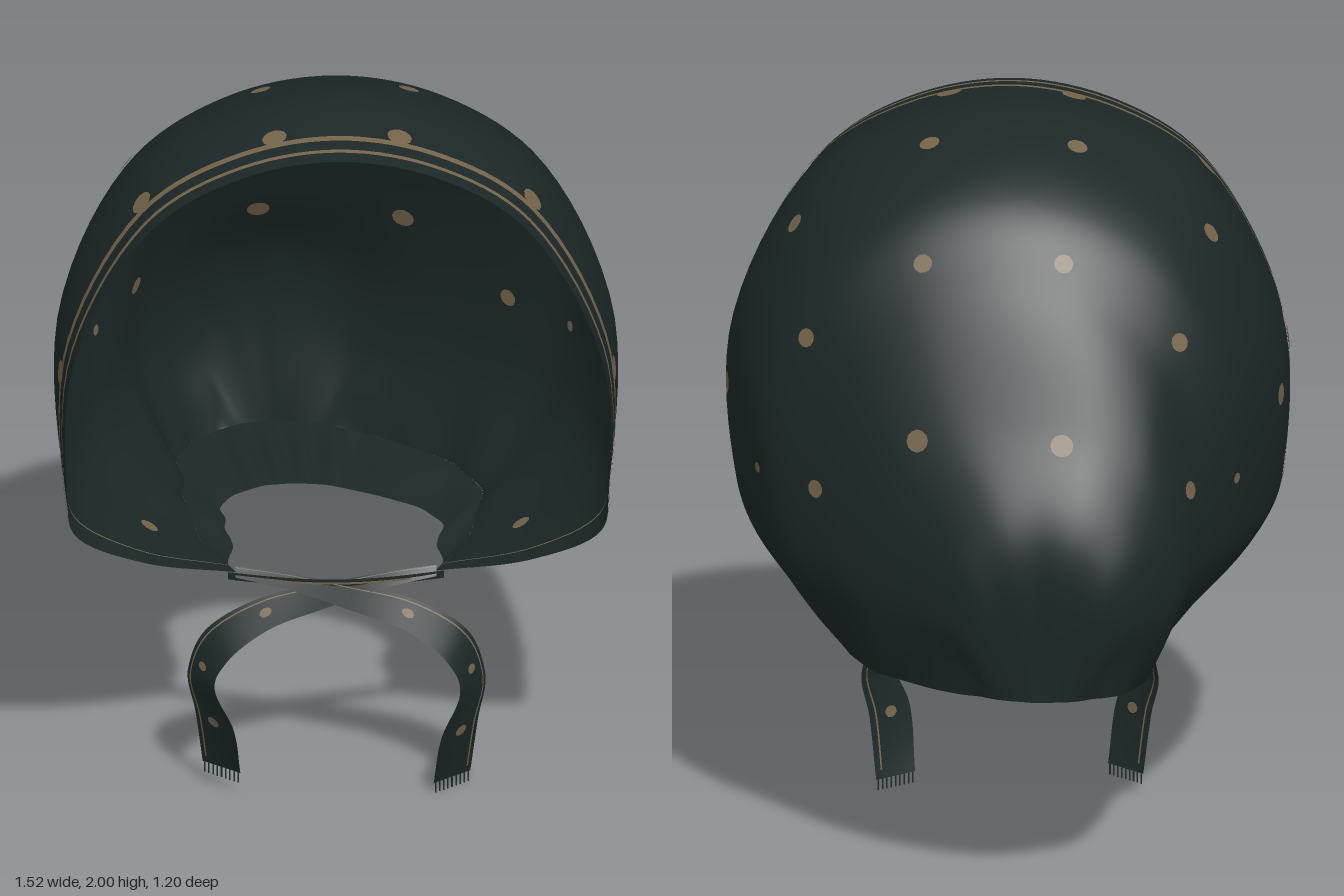
import * as THREE from 'three';

const V = (x, y, z) => new THREE.Vector3(x, y, z);
const { smoothstep } = THREE.MathUtils;

// Half arcs over the head, each from the neck edge up to the midline: brim and crown, then nape
const CROWN = [
  [[.27, .6, .32], [.52, .705, .47], [.71, .855, .595], [.728, .96, .6], [.71, 1.37, .6], [.505, 1.765, .6], [.27, 1.917, .6], [0, 1.97, .6]],
  [[.33, .6, .2], [.54, .7, .24], [.7, .85, .26], [.735, .97, .26], [.742, 1.37, .25], [.54, 1.785, .25], [.28, 1.945, .25], [0, 2, .25]],
  [[.39, .6, -.04], [.5, .69, -.07], [.6, .83, -.095], [.64, .97, -.1], [.65, 1.35, -.1], [.5, 1.655, -.1], [.27, 1.82, -.1], [0, 1.875, -.1]],
];
const NAPE = [
  [[.39, .6, -.24], [.44, .7, -.27], [.5, .85, -.3], [.52, .97, -.3], [.51, 1.22, -.28], [.41, 1.47, -.27], [.23, 1.62, -.27], [0, 1.67, -.27]],
  [[.33, .603, -.39], [.35, .71, -.43], [.375, .84, -.455], [.38, .95, -.46], [.365, 1.09, -.45], [.3, 1.23, -.44], [.18, 1.32, -.44], [0, 1.35, -.44]],
  [[.21, .606, -.5], [.21, .7, -.53], [.22, .8, -.565], [.21, .89, -.58], [.19, .96, -.585], [.14, 1.02, -.585], [.08, 1.055, -.585], [0, 1.07, -.58]],
  [[.15, .61, -.53], [.125, .61, -.545], [.1, .61, -.555], [.08, .61, -.56], [.06, .61, -.563], [.04, .61, -.566], [.02, .61, -.57], [0, .61, -.57]],
];
const arcCurves = [...CROWN, ...NAPE].map(a => new THREE.CatmullRomCurve3([
  ...a.map(p => V(...p)),
  ...a.slice(0, -1).reverse().map(([x, y, z]) => V(-x, y, z)),
]));

// Point on the hood: t = brim to nape, s = left neck edge over the top to right neck edge
function hood(t, s) {
  const p = new THREE.CatmullRomCurve3(arcCurves.map(a => a.getPoint(s))).getPoint(t);
  // the gathered nape sags to one side
  p.x -= 0.14 * smoothstep(-p.z, 0.15, 0.6);
  // soft folds gathering toward the neck
  const fold = smoothstep(1.1 - p.y, 0, 0.5) * Math.sin(Math.PI * t);
  p.x += THREE.MathUtils.clamp(p.x * 5, -1, 1) * 0.006 * fold * Math.sin(t * 34);
  return p;
}

// Outward normal and tangents of the hood
function frame(t, s) {
  const e = 0.004;
  const p = hood(t, s);
  const a = hood(Math.min(1, t + e), s).sub(hood(Math.max(0, t - e), s)).normalize();
  const b = hood(t, Math.min(1, s + e)).sub(hood(t, Math.max(0, s - e))).normalize();
  const n = a.clone().cross(b).normalize();
  if (n.dot(p.clone().sub(V(0, 1.1, 0.1))) < 0) n.negate();
  return { p, n, a, b: n.clone().cross(a) };
}

// Gathered underside: v = 0 on the hood's lower edge, v = 1 on the neck hole
function underside(u, v) {
  const k = u * 3;
  const p = k < 1 ? hood(k, 0) : k < 2 ? hood(1, k - 1) : hood(3 - k, 1);
  p.x *= 1 - 0.27 * v * smoothstep(0.34 - p.z, 0, 0.3);
  p.z = THREE.MathUtils.lerp(p.z, 0.3 + (p.z - 0.32) * 0.57, v);
  p.y += 0.008 * Math.sin(Math.PI * v) * Math.sin(u * 60) - 0.008 * v;
  return p;
}

// Grid surface from a rule fn(u, v)
function patch(name, fn, nu, nv, material) {
  const pos = [], idx = [];
  for (let i = 0; i <= nu; i++)
    for (let j = 0; j <= nv; j++) pos.push(...fn(i / nu, j / nv).toArray());
  for (let i = 0; i < nu; i++)
    for (let j = 0; j < nv; j++) {
      const k = i * (nv + 1) + j, l = k + nv + 1;
      idx.push(k, k + 1, l, l, k + 1, l + 1);
    }
  const g = new THREE.BufferGeometry();
  g.setAttribute('position', new THREE.Float32BufferAttribute(pos, 3));
  g.setIndex(idx);
  g.computeVertexNormals();
  const m = new THREE.Mesh(g, material);
  m.name = name;
  return m;
}

export function createModel() {
  const cloth = new THREE.MeshStandardMaterial({ color: 0x1c2727, side: THREE.DoubleSide });
  cloth.name = 'dark green cloth';
  const tan = new THREE.MeshStandardMaterial({ color: 0x75644a, side: THREE.DoubleSide });
  tan.name = 'tan print';
  const model = new THREE.Group();
  model.name = 'headscarf';

  model.add(patch('hood', hood, 72, 104, cloth));
  model.add(patch('underside', underside, 120, 8, cloth));

  // Two printed bands along the brim, the second showing through on the inner face
  for (const [t, w, side] of [[0.019, 0.007, 1], [0.046, 0.01, 1], [0.048, 0.004, -1]])
    model.add(patch('brimStripe', (u, v) => {
      const f = frame(t + w * u, v);
      return f.p.addScaledVector(f.n, 0.004 * side);
    }, 1, 104, tan));

  // Printed dots, placed at the nearest hood point to each target: x, y, z, radius
  const samples = [];
  for (let i = 0; i <= 90; i++)
    for (let j = 0; j <= 140; j++) samples.push([hood(i / 90, j / 140), i / 90, j / 140]);
  const dots = [
    [.2, 1.97, .12, .028], [.57, 1.73, .11, .028], [.74, 1.25, .15, .03], [.2, 1.75, -.23, .026],
    [.51, 1.51, -.21, .026], [.2, 1.3, -.45, .031], [.47, 1.12, -.3, .025], [.64, 1.11, -.13, .015],
    [.5, .66, .2, .026], [.18, 1.965, .47, .034], [.53, 1.76, .47, .034], [.73, 1.27, .475, .034],
  ];
  for (const [x, y, z, radius] of dots)
    for (const mirror of [1, -1]) {
      const target = V(x * mirror, y, z);
      let best = samples[0];
      for (const q of samples)
        if (q[0].distanceToSquared(target) < best[0].distanceToSquared(target)) best = q;
      const f = frame(best[1], best[2]);
      for (const side of [1, -1])
        model.add(patch('dot', (u, v) => {
          const r = radius * u, w = v * Math.PI * 2;
          return f.p.clone().addScaledVector(f.a, r * Math.cos(w))
            .addScaledVector(f.b, r * Math.sin(w)).addScaledVector(f.n, 0.005 * side);
        }, 1, 12, tan));
    }

  // Crossed ties: centre line and half-width vector at each station
  const path = new THREE.CatmullRomCurve3([
    V(-.27, .6, .32), V(-.13, .59, .36), V(.03, .562, .4), V(.2, .52, .43),
    V(.325, .44, .46), V(.365, .33, .46), V(.33, .2, .47), V(.31, .03, .42)]);
  const width = new THREE.CatmullRomCurve3([
    V(0, .012, -.01), V(0, .014, -.02), V(0, .02, -.035), V(.012, .028, -.04),
    V(.028, .024, -.05), V(.035, 0, -.06), V(.05, 0, -.058), V(.05, 0, -.038)]);
  for (const mirror of [1, -1]) {
    const tie = new THREE.Group();
    tie.name = mirror > 0 ? 'leftTie' : 'rightTie';
    const at = (u, v, lift = 0) => {
      const w = width.getPoint(u);
      const p = path.getPoint(u).addScaledVector(w, v * 2 - 1);
      p.addScaledVector(w.cross(path.getTangent(u)).normalize(), lift);
      // one tie hangs a little shorter and passes behind the other
      if (mirror < 0) {
        p.y += 0.035 * smoothstep(u, 0.5, 1);
        p.z -= 0.012 * Math.sin(Math.PI * u);
      }
      p.x *= mirror;
      return p;
    };
    tie.add(patch('ribbon', at, 60, 6, cloth));
    for (const lift of [0.004, -0.004])
      tie.add(patch('ribbonStripe', (u, v) => at(u * 0.98, 0.84 + 0.04 * v, lift), 60, 1, tan));
    for (const u of [0.42, 0.66, 0.86])
      for (const lift of [0.005, -0.005])
        tie.add(patch('ribbonDot', (a, b) => at(
          u + 0.015 * a * Math.cos(b * Math.PI * 2),
          0.5 + 0.14 * a * Math.sin(b * Math.PI * 2), lift), 1, 10, tan));
    // fringe threads
    for (let i = 0; i < 9; i++) {
      const thread = new THREE.Mesh(new THREE.BoxGeometry(0.004, 0.03, 0.004), cloth);
      thread.name = 'fringe';
      thread.position.copy(at(1, (i + 0.5) / 9));
      thread.position.y -= 0.015;
      tie.add(thread);
    }
    model.add(tie);
  }

  // Gathered band under the chin joining both brim corners
  model.add(patch('chinBand', (u, v) => V(
    -0.29 + 0.58 * u, 0.578 + 0.022 * v, 0.32 + 0.05 * Math.sin(Math.PI * u)), 24, 2, cloth));
  model.add(patch('chinStripe', (u, v) => V(
    -0.2 + 0.4 * u, 0.587 + 0.006 * v,
    0.324 + 0.05 * Math.sin(Math.PI * (0.155 + 0.69 * u))), 16, 1, tan));

  return model;
}
